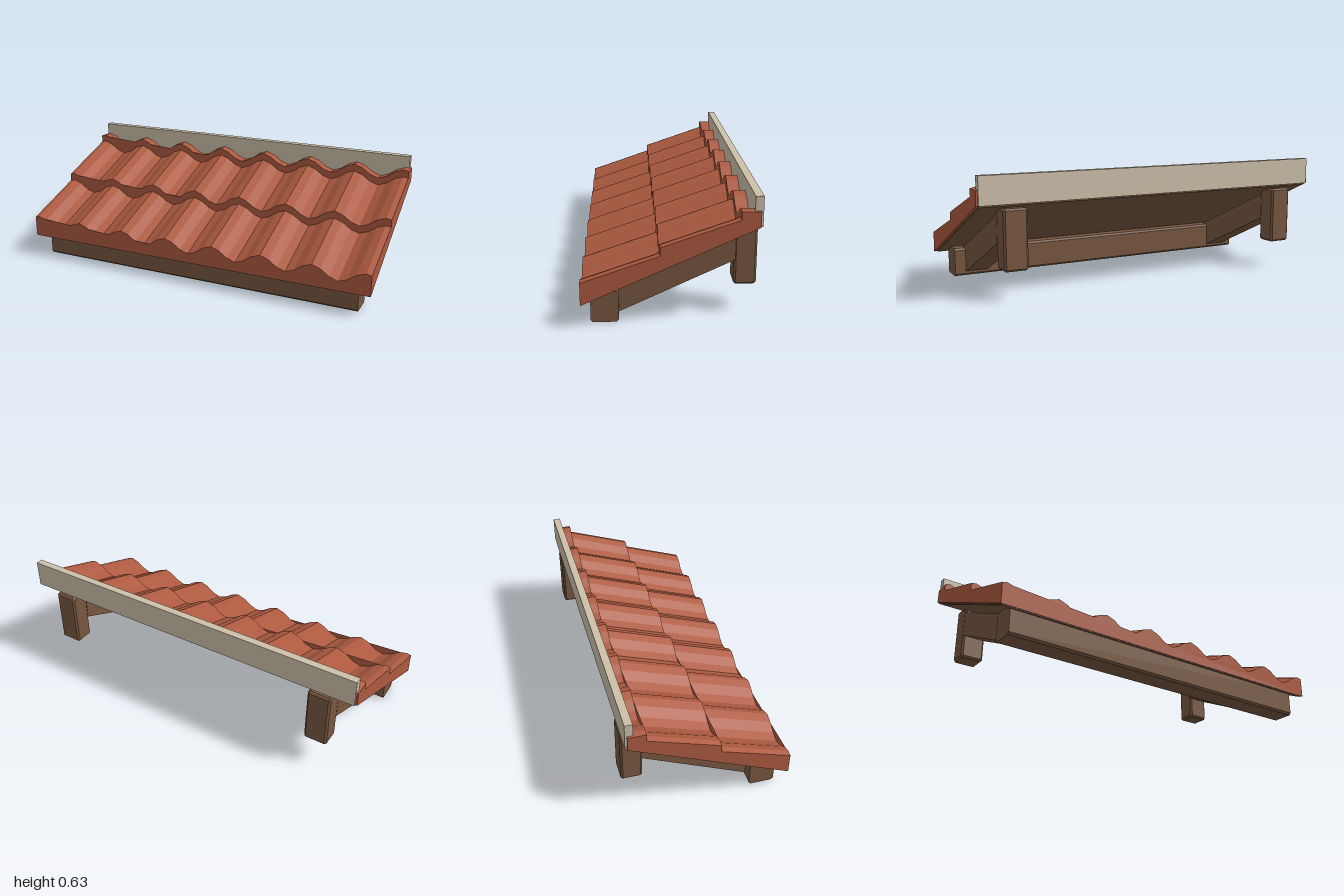
import * as THREE from 'three';

export function createModel() {
  const model = new THREE.Group();
  const mat = (name, color) => Object.assign(new THREE.MeshStandardMaterial({ color, flatShading: true }), { name });
  const clay = mat('clay red', 0xad5a40);
  const wood = mat('dark wood', 0x785740);
  const stone = mat('pale board', 0xcdc0aa);

  const add = (name, geometry, material) => {
    const mesh = new THREE.Mesh(geometry, material);
    mesh.name = name;
    model.add(mesh);
    return mesh;
  };
  const box = (name, material, x0, x1, y0, y1, z0, z1) => {
    const mesh = add(name, new THREE.BoxGeometry(x1 - x0, y1 - y0, z1 - z0), material);
    mesh.position.set((x0 + x1) / 2, (y0 + y1) / 2, (z0 + z1) / 2);
    return mesh;
  };

  // Side profile of [z, y] points, extruded along x from x0 to x1
  const extrudeX = (points, x0, x1, bevel = 0) => {
    const shape = new THREE.Shape(points.map(([z, y]) => new THREE.Vector2(-z, y)));
    const geo = new THREE.ExtrudeGeometry(shape, {
      depth: x1 - x0 - 2 * bevel, bevelEnabled: bevel > 0,
      bevelThickness: bevel, bevelSize: bevel, bevelOffset: -bevel, bevelSegments: 1,
    });
    return geo.translate(0, 0, x0 + bevel).rotateY(Math.PI / 2);
  };
  // Rectangle with clipped corners
  const clipped = (z0, z1, y0, y1, c) => [
    [z1 - c, y0], [z0 + c, y0], [z0, y0 + c], [z0, y1 - c],
    [z0 + c, y1], [z1 - c, y1], [z1, y1 - c], [z1, y0 + c],
  ];

  // Tile courses: wavy top, flat sloping underside
  const period = 2 / 7.2, step = period / 6, wave = 0.0325;
  const xs = [-1];
  for (let i = -21; i <= 21; i++) xs.push(i * step);
  xs.push(1);
  const under = (z) => 0.117 + 0.446 * (0.415 - z);
  const courses = [
    // front z, back z, crest height at front and back
    [0.415, 0.05, 0.235, 0.36],
    [0.05, -0.315, 0.4, 0.525],
    [-0.315, -0.405, 0.565, 0.563],
  ];
  courses.forEach(([zf, zb, yf, yb], n) => {
    const shape = new THREE.Shape();
    shape.moveTo(1, 0);
    for (const x of [...xs].reverse()) shape.lineTo(x, 1 - wave - wave * Math.cos((x / period) * Math.PI * 2));
    shape.lineTo(-1, 0);
    const geo = new THREE.ExtrudeGeometry(shape, { depth: zf - zb, bevelEnabled: false }).translate(0, 0, zb);
    const p = geo.attributes.position;
    for (let i = 0; i < p.count; i++) {
      const z = p.getZ(i), y = p.getY(i);
      const crest = yf + ((yb - yf) * (zf - z)) / (zf - zb);
      p.setY(i, y < 0.5 ? under(z) : crest + y - 1);
    }
    geo.computeVertexNormals();
    add('tileCourse' + (n + 1), geo, clay);
  });

  // Thin wooden deck under the tiles
  const deck = (z, d) => [z, under(z) + d];
  add('deck', extrudeX([deck(0.405, -0.006), deck(0.405, 0.004), deck(-0.4, 0.004), deck(-0.4, -0.006)], -0.985, 0.985), wood);

  // Board along the top edge
  box('ridgeBoard', stone, -0.99, 0.99, 0.483, 0.627, -0.415, -0.376);

  // Front beam, sloping rafters and back posts
  add('frontBeam', extrudeX(clipped(0.24, 0.372, 0, 0.155, 0.011), -0.93, 0.93), wood);
  for (const [side, x0, x1] of [['left', 0.745, 0.87], ['right', -0.87, -0.745]]) {
    add(side + 'Rafter', extrudeX([[0.285, 0.155], [0.285, 0.003], [-0.312, 0.279], [-0.312, 0.421]], x0, x1), wood);
    add(side + 'Post', extrudeX(clipped(-0.414, -0.305, 0.152, 0.461, 0.01), x0, x1, 0.01), wood);
  }
  return model;
}
